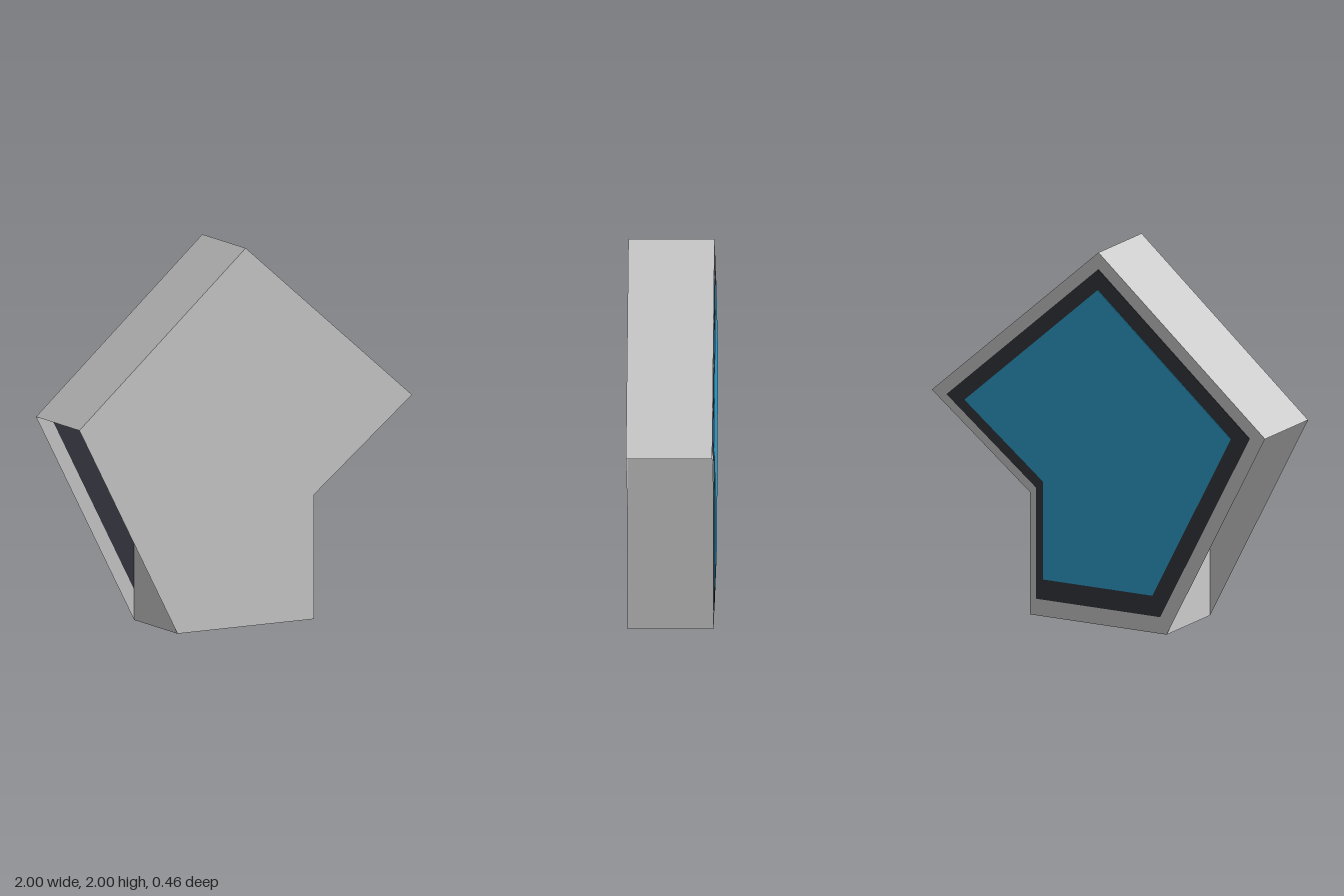
import * as THREE from 'three';

// Side walls follow an arrow; the flat faces bridge its notches.
const ARROW = [[0, 2], [-1, 1.13], [-0.41, 1.13], [-0.41, 0], [0.41, 0], [0.41, 1.13], [1, 1.13]];
const FACE = [[0, 2], [-1, 1.13], [-0.41, 0], [0.41, 0], [0.41, 0.657], [1, 1.13]];

// Scale an outline about the middle of the model
const scaled = (points, s) => points.map(([x, y]) => new THREE.Vector2(x * s, 1 + (y - 1) * s));

// Strip of flat walls running round the arrow
function wallGeometry(points, back, front) {
  const positions = [];
  points.forEach((a, i) => {
    const b = points[(i + 1) % points.length];
    positions.push(
      a.x, a.y, back, b.x, b.y, back, b.x, b.y, front,
      a.x, a.y, back, b.x, b.y, front, a.x, a.y, front
    );
  });
  const geometry = new THREE.BufferGeometry();
  geometry.setAttribute('position', new THREE.Float32BufferAttribute(positions, 3));
  geometry.computeVertexNormals();
  return geometry;
}

// Walls plus a front and a back face
function makeSlab(name, scale, back, front, color) {
  const slab = new THREE.Group();
  slab.name = name;
  const material = new THREE.MeshStandardMaterial({ color, side: THREE.DoubleSide });
  const add = (part, geometry) => {
    const mesh = new THREE.Mesh(geometry, material);
    mesh.name = name + part;
    slab.add(mesh);
    return mesh;
  };

  add('Walls', wallGeometry(scaled(ARROW, scale), back, front));
  const face = new THREE.ShapeGeometry(new THREE.Shape(scaled(FACE, scale)));
  add('FrontFace', face).position.z = front;

  // Mirror the outline in x, then turn it round to face backwards
  const mirrored = scaled(FACE, scale).map((p) => new THREE.Vector2(-p.x, p.y)).reverse();
  const backFace = add('BackFace', new THREE.ShapeGeometry(new THREE.Shape(mirrored)));
  backFace.rotation.y = Math.PI;
  backFace.position.z = back;
  return slab;
}

export function createModel() {
  const model = new THREE.Group();
  model.name = 'arrowBlock';
  model.add(
    makeSlab('body', 1, -0.22, 0.228, 0xcccccc),
    makeSlab('darkBorder', 0.91, -0.224, -0.219, 0x35373f), // thin plate on the back
    makeSlab('bluePanel', 0.8, -0.228, -0.223, 0x309fcc) // inset plate on the border
  );
  return model;
}
